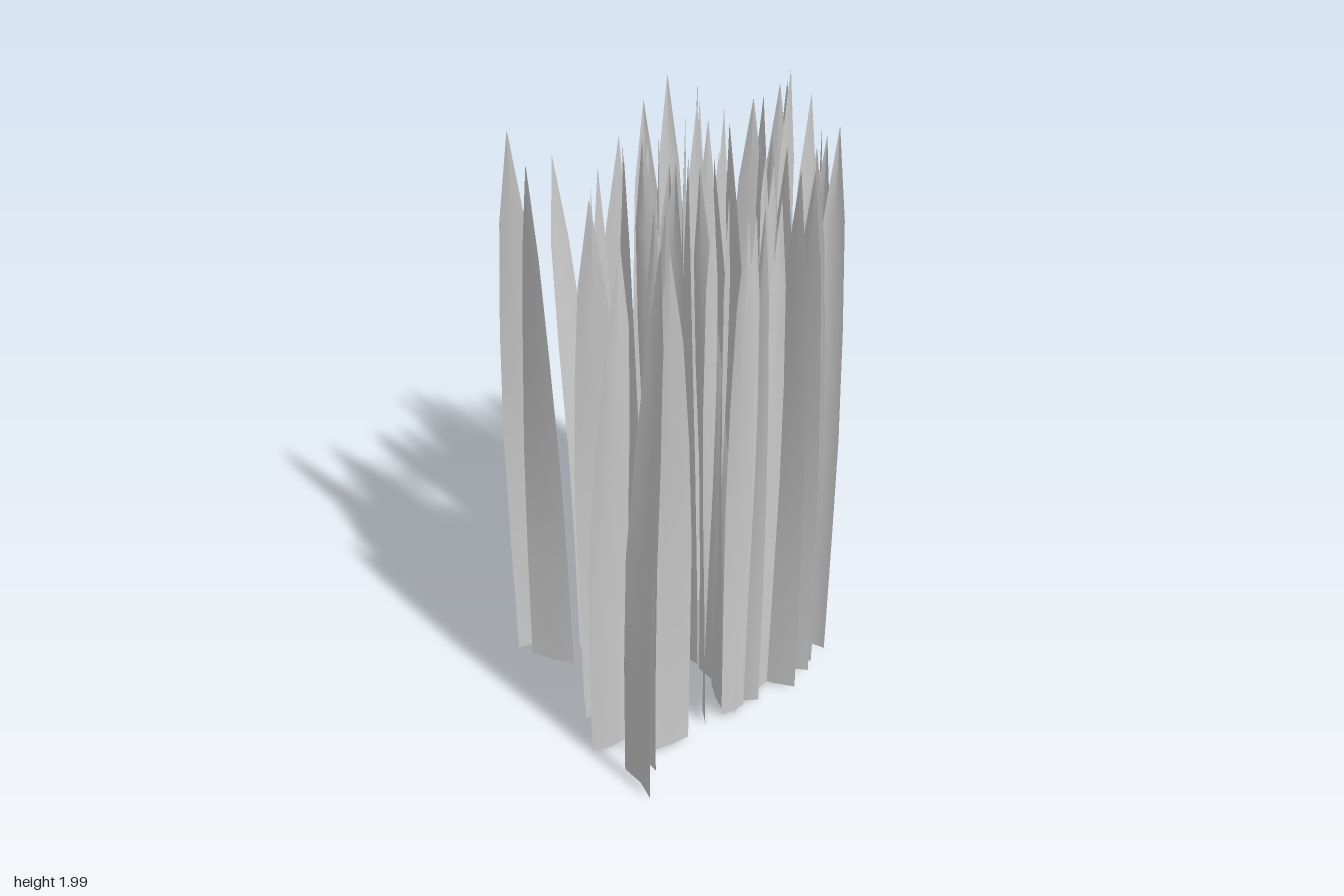
import * as THREE from 'three';

// Blade bases in hundredths of a unit: x and z of one corner, then of the other.
const twistedRight = [
  [-54, -1, -40, -6], [-47, 1, -33, 8], [-19, -13, -10, -6], [-17, -8, -10, 2],
  [-19, -6, -22, 4], [-17, 1, -21, 11], [-21, 7, -19, 16], [-26, 22, -12, 16],
  [-24, 29, -10, 23], [-10, -36, -5, -23], [-2, -39, 2, -25], [5, -42, 2, -33],
  [7, -39, -1, -31], [12, -45, 9, -36], [2, -32, 11, -38], [-3, -60, 4, -48],
  [-1, 16, 1, 24], [-5, 24, 5, 25], [0, 19, 3, 32], [-2, 30, 10, 30], [0, 41, 13, 36],
];
const twistedLeft = [
  [5, -63, 12, -50], [10, -57, 25, -59], [19, -57, 32, -60], [15, -62, 26, -56],
  [23, -63, 32, -59], [32, -57, 26, -49], [39, -61, 32, -50], [25, -30, 37, -24],
  [21, -23, 33, -20], [31, -23, 25, -15], [29, -18, 23, -10], [23, -12, 28, -2],
  [14, -21, 11, -7], [1, -9, 9, 1], [34, -6, 48, -1], [31, 1, 44, 7],
  [36, 5, 30, 12], [25, 13, 33, 14], [29, 14, 25, 21], [21, 22, 29, 18],
  [18, 8, 20, 21], [16, 14, 15, 27],
];
// Leaning blades also give the x and z of the tip.
const leaning = [
  [-24, -13, -32, -3, -37, -15], [-6, 51, 4, 62, 6, 51], [-5, 45, 4, 51, 4, 42],
  [-19, 36, -9, 26, -7, 38], [-18, 45, -8, 38, -6, 46], [-10, 4, 1, 8, 0, -2],
  [-9, 12, 4, 17, 3, 6], [-11, -20, 2, -17, -9, -9], [1, -47, -11, -43, -9, -55],
  [-18, -41, -5, -43, -16, -52], [-32, -27, -23, -39, -19, -26],
  [-20, -28, -16, -39, -11, -31], [24, -50, 31, -42, 22, -37],
  [15, -47, 23, -37, 13, -34], [48, -45, 49, -30, 40, -41],
  [35, -30, 46, -25, 42, -36], [41, -18, 53, -16, 46, -26],
  [36, -9, 49, -9, 40, -21], [18, -10, 25, 1, 13, 1], [11, 1, 22, 8, 10, 8],
];

// Rows up a blade: height, width, share of the lean, of the twist and of the fold
const rows = [
  [0, 1, 0, -0.5, 0.6], [0.24, 0.99, 0.04, -0.25, 0.8], [0.46, 0.96, 0.17, 0.05, 1],
  [0.66, 0.8, 0.5, 0.3, 1], [0.85, 0.53, 0.82, 0.5, 0.7], [1, 0.01, 1, 0.55, 0],
];

function bladeGeometry([ax, az, bx, bz, tx, tz], height, baseY, twist) {
  const mx = (ax + bx) / 200, mz = (az + bz) / 200;
  const half = Math.hypot(bx - ax, bz - az) / 200;
  const angle = Math.atan2(bz - az, bx - ax);
  const leans = tx !== undefined;
  const lx = leans ? tx / 100 - mx : 0, lz = leans ? tz / 100 - mz : 0;
  // The middle rib is set forward so each blade is folded lengthwise
  const side = -Math.sin(angle) * lx + Math.cos(angle) * lz < 0 ? -1 : 1;
  const fold = leans ? 0.018 * side : 0.009;
  const pos = [], index = [];
  rows.forEach(([h, w, lean, turn, bend], r) => {
    const a = angle + turn * twist, c = Math.cos(a), s = Math.sin(a);
    for (let i = -1; i <= 1; i++) {
      const u = i * half * w, v = i === 0 ? fold * bend : 0;
      pos.push(mx + lx * lean + u * c - v * s, baseY + h * (height - baseY), mz + lz * lean + u * s + v * c);
    }
    if (r === 0) return;
    for (let i = 0; i < 2; i++) {
      const p = (r - 1) * 3 + i;
      index.push(p, p + 3, p + 1, p + 1, p + 3, p + 4);
    }
  });
  const g = new THREE.BufferGeometry();
  g.setAttribute('position', new THREE.Float32BufferAttribute(pos, 3));
  g.setIndex(index);
  g.computeVertexNormals();
  return g;
}

export function createModel() {
  const model = new THREE.Group();
  model.name = 'grassClump';
  const material = new THREE.MeshStandardMaterial({ color: 0xcccccc, side: THREE.DoubleSide });
  let seed = 7;
  const random = () => (seed = (seed * 16807) % 2147483647) / 2147483647;

  // One blade of each patch stands out with a given height
  const addBlades = (name, list, twist, tallest, tallHeight) => {
    const group = new THREE.Group();
    group.name = name;
    list.forEach((b, i) => {
      const height = i === tallest ? tallHeight : 1.83 + 0.12 * random();
      const blade = new THREE.Mesh(bladeGeometry(b, height, 0.012 * random(), twist), material);
      blade.name = 'grassBlade';
      group.add(blade);
    });
    model.add(group);
  };
  addBlades('twistedBladesLeft', twistedLeft, 0.55, 5, 1.99);
  addBlades('twistedBladesRight', twistedRight, 0.55, 0, 1.96);
  addBlades('leaningBlades', leaning, 0, 1, 1.93);
  return model;
}
